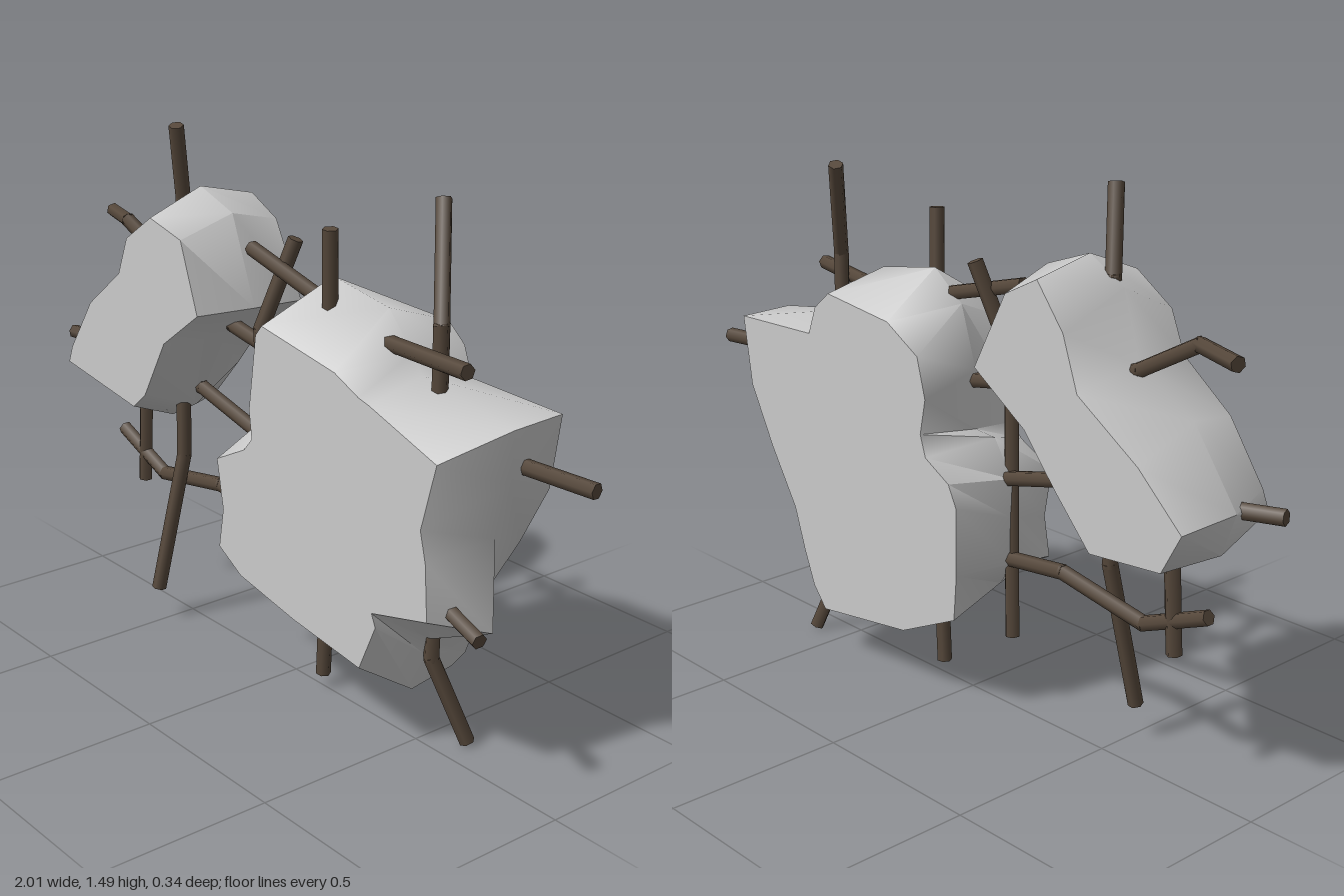
import * as THREE from 'three';
import { mergeGeometries, toCreasedNormals } from 'three/addons/utils/BufferGeometryUtils.js';

const HALF = 0.17; // half thickness of the slabs

// Flat broken face of a slab, facing +z or -z
function cap(points, side) {
  const outline = points.map(([x, y]) => new THREE.Vector2(x * side, y));
  const g = new THREE.ShapeGeometry(new THREE.Shape(outline));
  if (side < 0) g.rotateY(Math.PI);
  g.translate(0, 0, side * HALF);
  g.deleteAttribute('uv');
  return g.toNonIndexed();
}

// Slab lofted through front, middle and back outlines (clockwise seen from the front)
function slab(front, middle, back, material, name) {
  const loops = [front, middle, back];
  const zs = [HALF, 0, -HALF];
  const n = front.length;
  const pos = [];
  const at = (l, i) => [...loops[l][i % n], zs[l]];
  for (let l = 0; l < 2; l++) {
    for (let i = 0; i < n; i++) {
      const a = at(l, i), b = at(l, i + 1), c = at(l + 1, i + 1), d = at(l + 1, i);
      pos.push(...a, ...b, ...c, ...a, ...c, ...d);
    }
  }
  let sides = new THREE.BufferGeometry();
  sides.setAttribute('position', new THREE.Float32BufferAttribute(pos, 3));
  sides = toCreasedNormals(sides, 0.95);
  const mesh = new THREE.Mesh(mergeGeometries([sides, cap(front, 1), cap(back, -1)]), material);
  mesh.name = name;
  return mesh;
}

// Bent reinforcing bar: six-sided rods along a polyline
function bar(points, material, name) {
  const group = new THREE.Group();
  group.name = name;
  const up = new THREE.Vector3(0, 1, 0);
  for (let i = 0; i + 1 < points.length; i++) {
    const a = new THREE.Vector3(...points[i]);
    const b = new THREE.Vector3(...points[i + 1]);
    const dir = b.clone().sub(a);
    const len = dir.length();
    dir.normalize();
    // small overlap closes the joint at each bend
    if (i > 0) a.addScaledVector(dir, -0.006);
    if (i + 2 < points.length) b.addScaledVector(dir, 0.006);
    const rod = new THREE.Mesh(new THREE.CylinderGeometry(0.021, 0.021, a.distanceTo(b), 6), material);
    rod.position.copy(a).add(b).multiplyScalar(0.5);
    rod.quaternion.setFromUnitVectors(up, dir);
    rod.name = 'rod';
    if (len > 0) group.add(rod);
  }
  return group;
}

export function createModel() {
  const concrete = new THREE.MeshStandardMaterial({ color: 0xcacaca });
  concrete.name = 'concrete grey';
  const rust = new THREE.MeshStandardMaterial({ color: 0x56483b });
  rust.name = 'rusty brown';

  const model = new THREE.Group();
  model.name = 'brokenConcrete';

  // Large chunk
  model.add(slab(
    [[0.015, 0.82], [0.045, 1.03], [0.07, 1.06], [0.36, 1.01], [0.45, 0.97], [0.49, 0.96], [0.73, 0.88],
      [0.68, 0.70], [0.70, 0.62], [0.71, 0.47], [0.51, 0.42], [0.525, 0.385], [0.465, 0.25], [0.2, 0.285],
      [-0.03, 0.33], [-0.125, 0.385], [-0.105, 0.50], [-0.13, 0.64], [-0.01, 0.70], [0.025, 0.74]],
    [[-0.01, 0.93], [0.045, 1.10], [0.15, 1.18], [0.365, 1.145], [0.455, 1.05], [0.49, 1.0], [0.81, 0.95],
      [0.805, 0.81], [0.76, 0.66], [0.765, 0.41], [0.545, 0.31], [0.52, 0.26], [0.48, 0.14], [0.13, 0.21],
      [-0.11, 0.35], [-0.155, 0.42], [-0.15, 0.55], [-0.15, 0.66], [-0.085, 0.76], [-0.01, 0.765]],
    [[0.0, 0.88], [0.03, 0.99], [0.15, 1.06], [0.40, 1.09], [0.46, 1.04], [0.49, 0.96], [0.80, 0.95],
      [0.77, 0.75], [0.68, 0.58], [0.58, 0.42], [0.54, 0.30], [0.50, 0.20], [0.45, 0.14], [0.10, 0.19],
      [-0.11, 0.29], [-0.12, 0.42], [-0.12, 0.61], [-0.09, 0.67], [0.0, 0.72], [0.02, 0.78]],
    concrete, 'largeChunk'));

  // Small chunk
  model.add(slab(
    [[-0.85, 0.78], [-0.74, 0.94], [-0.585, 1.06], [-0.54, 1.17], [-0.42, 1.25], [-0.28, 1.215],
      [-0.21, 1.02], [-0.37, 0.905], [-0.47, 0.73], [-0.53, 0.68], [-0.87, 0.73]],
    [[-0.91, 0.775], [-0.77, 0.97], [-0.59, 1.07], [-0.535, 1.25], [-0.42, 1.315], [-0.275, 1.265],
      [-0.18, 1.02], [-0.35, 0.895], [-0.46, 0.67], [-0.58, 0.605], [-0.87, 0.66]],
    [[-0.89, 0.76], [-0.75, 0.89], [-0.55, 1.02], [-0.50, 1.16], [-0.41, 1.275], [-0.30, 1.22],
      [-0.19, 1.01], [-0.37, 0.89], [-0.48, 0.76], [-0.60, 0.63], [-0.83, 0.65]],
    concrete, 'smallChunk'));

  // Reinforcing bars running across
  const across = [
    [[-0.925, 1.15, -0.04], [-0.77, 1.155, 0.01], [-0.60, 1.06, -0.01], [-0.28, 0.95, 0], [0.06, 0.89, 0]],
    [[-1.0, 0.775, 0.07], [-0.84, 0.765, 0.03], [-0.43, 0.73, 0], [-0.08, 0.645, 0]],
    [[0.66, 0.845, -0.04], [1.0, 0.837, -0.08]],
    [[-0.18, 1.19, 0.01], [0.15, 1.105, 0.01]],
    [[0.36, 1.065, 0.02], [0.725, 1.085, 0.075]],
    [[-0.84, 0.49, 0], [-0.63, 0.405, 0], [-0.345, 0.455, 0], [-0.08, 0.425, 0]],
    [[0.60, 0.505, 0.08], [0.84, 0.455, 0.12]],
  ];
  // Reinforcing bars running up
  const upright = [
    [[-0.445, 1.485, 0.06], [-0.49, 1.27, 0.01], [-0.485, 0.51, 0.03], [-0.515, 0.10, 0.11]],
    [[-0.71, 0.72, 0], [-0.735, 0.355, 0]],
    [[-0.04, 1.235, -0.03], [-0.115, 0.98, 0.03], [-0.158, 0.21, 0]],
    [[0.215, 1.325, 0.065], [0.20, 1.08, 0.05]],
    [[0.46, 1.425, -0.085], [0.565, 1.15, 0.01], [0.56, 0.85, 0.005]],
    [[0.545, 0.42, -0.01], [0.54, 0.25, -0.01], [0.605, 0.01, -0.085]],
    [[0.14, 0.34, 0.005], [0.12, 0.04, 0]],
  ];
  across.forEach((p, i) => model.add(bar(p, rust, `crossBar${i + 1}`)));
  upright.forEach((p, i) => model.add(bar(p, rust, `uprightBar${i + 1}`)));
  return model;
}
